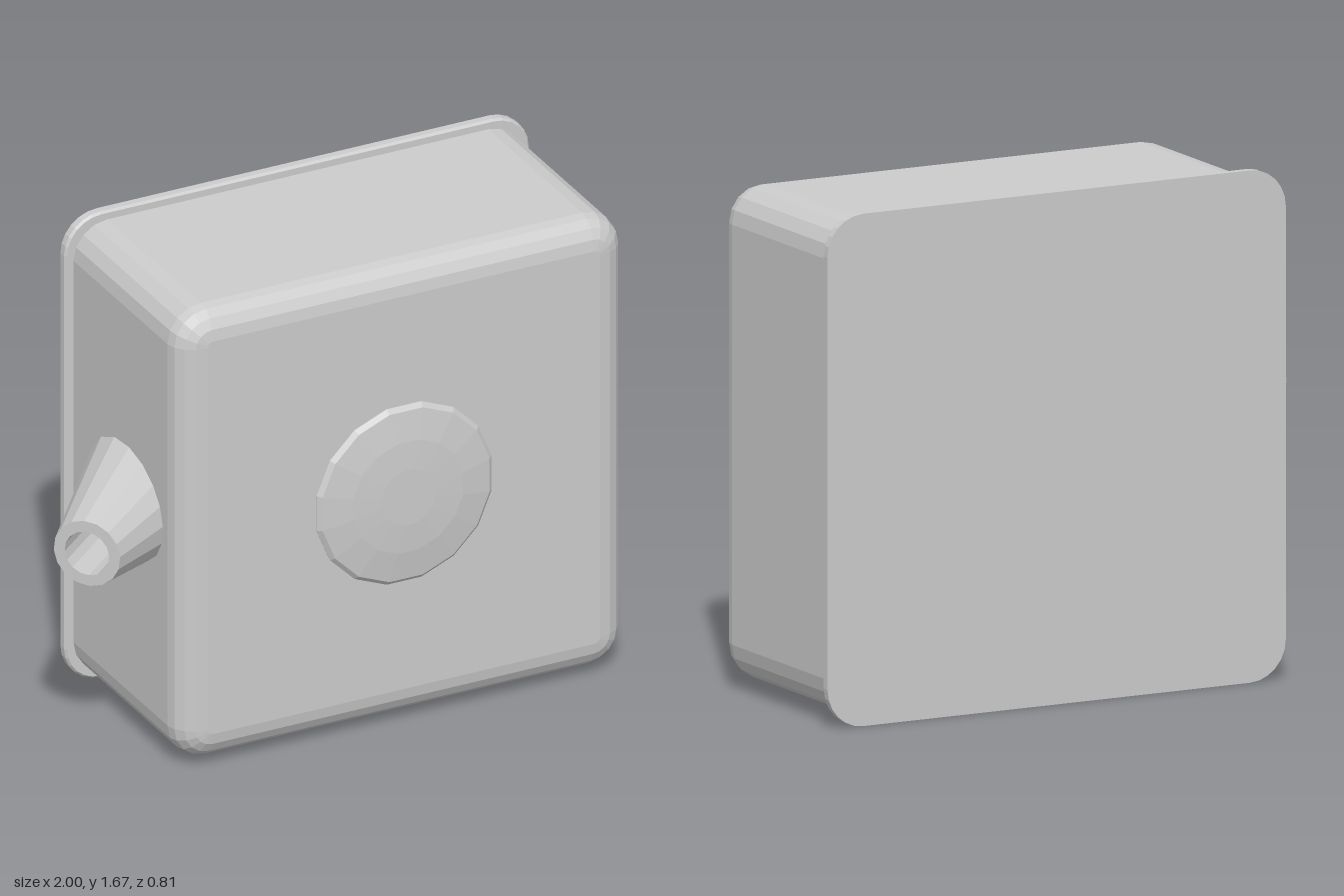
import * as THREE from 'three';

const CX = 0.165, CY = 0.833; // centre of the housing

const material = new THREE.MeshStandardMaterial({ color: 0xcccccc, flatShading: true, side: THREE.DoubleSide });

// Counter-clockwise rounded rectangle at depth z
function roundedRing(half, radius, z, steps) {
  const ring = [];
  for (let corner = 0; corner < 4; corner++) {
    const mid = (corner + 0.5) * Math.PI / 2;
    const ox = Math.sign(Math.cos(mid)) * (half - radius);
    const oy = Math.sign(Math.sin(mid)) * (half - radius);
    for (let i = 0; i <= steps; i++) {
      const a = (corner + i / steps) * Math.PI / 2;
      ring.push([ox + radius * Math.cos(a), oy + radius * Math.sin(a), z]);
    }
  }
  return ring;
}

// Skin a stack of rings from back to front and cap both ends
function loft(rings) {
  const pos = [];
  const tri = (a, b, c) => pos.push(...a, ...b, ...c);
  const n = rings[0].length;
  const back = rings[0], front = rings[rings.length - 1];
  for (let i = 0; i < n; i++) {
    const j = (i + 1) % n;
    for (let k = 0; k < rings.length - 1; k++) {
      const a = rings[k], b = rings[k + 1];
      tri(a[i], a[j], b[j]);
      tri(a[i], b[j], b[i]);
    }
    tri([0, 0, back[0][2]], back[j], back[i]);
    tri([0, 0, front[0][2]], front[i], front[j]);
  }
  const geo = new THREE.BufferGeometry();
  geo.setAttribute('position', new THREE.Float32BufferAttribute(pos, 3));
  geo.computeVertexNormals();
  return geo;
}

const lathe = (points, sides) =>
  new THREE.LatheGeometry(points.map(([r, y]) => new THREE.Vector2(r, y)), sides);

export function createModel() {
  const model = new THREE.Group();
  const add = (name, geometry, x, y, z) => {
    const mesh = new THREE.Mesh(geometry, material);
    mesh.name = name;
    mesh.position.set(x, y, z);
    model.add(mesh);
    return mesh;
  };

  // Housing with a rounded front edge
  const rings = [roundedRing(0.803, 0.12, -0.38, 4)];
  for (let i = 0; i <= 4; i++) {
    const a = i / 4 * Math.PI / 2;
    const inset = 0.1 * (1 - Math.cos(a));
    rings.push(roundedRing(0.803 - inset, 0.12 - inset, 0.28 + 0.085 * Math.sin(a), 4));
  }
  add('housing', loft(rings), CX, CY, 0);

  // Thin back plate that overhangs the housing
  add('backPlate', loft([
    roundedRing(0.833, 0.13, -0.405, 6),
    roundedRing(0.833, 0.13, -0.38, 6),
    roundedRing(0.826, 0.123, -0.372, 6),
  ]), CX, CY, 0);

  // Shallow domed button on the front
  const button = add('button', lathe(
    [[0.32, -0.01], [0.32, 0.002], [0.305, 0.016], [0.2, 0.031], [0.1, 0.036], [0, 0.036]], 16), CX, CY, 0.365);
  button.rotation.set(Math.PI / 2, Math.PI / 16, 0);

  // Tapered hollow spout, angled out and forward from the right side
  const axis = new THREE.Vector3(-0.766, 0, 0.643).normalize();
  const length = 0.6;
  const spout = add('spout', lathe(
    [[0.235, 0], [0.115, length], [0.077, length], [0.077, 0.1], [0, 0.1]], 16),
    -0.925 - axis.x * length, CY, 0.277 - axis.z * length);
  spout.quaternion.setFromUnitVectors(new THREE.Vector3(0, 1, 0), axis);

  return model;
}
